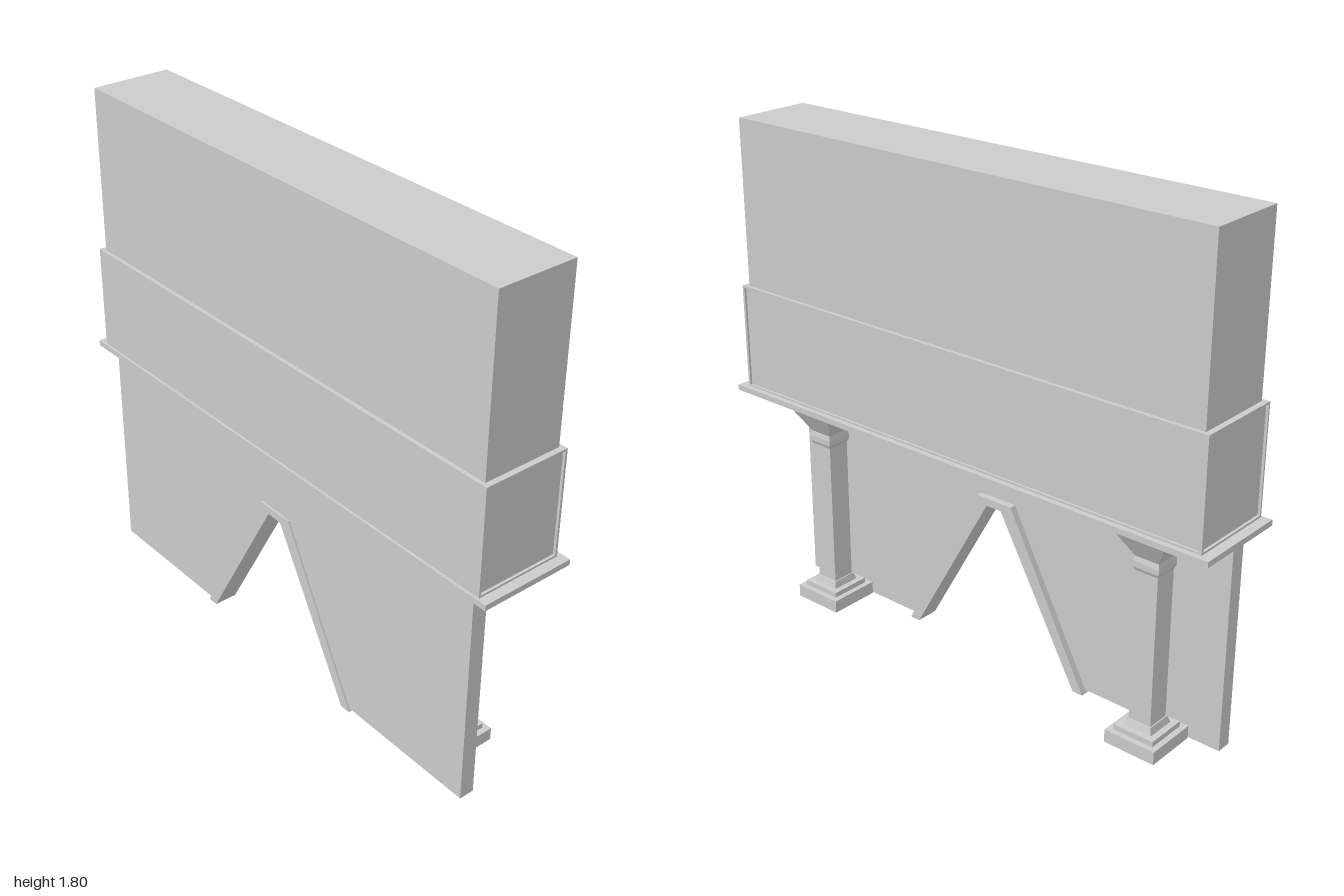
import * as THREE from 'three';

const material = new THREE.MeshStandardMaterial({ color: 0xcccccc, flatShading: true });

function add(parent, name, geometry) {
  const mesh = new THREE.Mesh(geometry, material);
  mesh.name = name;
  parent.add(mesh);
  return mesh;
}

// Box given by its limits on each axis
function box(parent, name, [x0, x1], [y0, y1], [z0, z1]) {
  const mesh = add(parent, name, new THREE.BoxGeometry(x1 - x0, y1 - y0, z1 - z0));
  mesh.position.set((x0 + x1) / 2, (y0 + y1) / 2, (z0 + z1) / 2);
}

// Square frustum on the y axis, from half-widths
function frustum(parent, name, y0, y1, half0, half1) {
  const g = new THREE.CylinderGeometry(half1 * Math.SQRT2, half0 * Math.SQRT2, y1 - y0, 4);
  g.rotateY(Math.PI / 4);
  g.translate(0, (y0 + y1) / 2, 0);
  add(parent, name, g);
}

const outline = (points) => new THREE.Shape(points.map(([a, b]) => new THREE.Vector2(a, b)));

// Outline in (-z, y), extruded from x0 to x1
function slabAlongX(parent, name, shape, x0, x1) {
  const g = new THREE.ExtrudeGeometry(shape, { depth: x1 - x0, bevelEnabled: false });
  g.rotateY(Math.PI / 2);
  g.translate(x0, 0, 0);
  add(parent, name, g);
}

// Rectangular border shape with an opening
function border(a0, a1, b0, b1, side, rail) {
  const rect = (p, q, r, s) => [[p, r], [q, r], [q, s], [p, s]];
  const shape = outline(rect(a0, a1, b0, b1));
  shape.holes.push(outline(rect(a0 + side, a1 - side, b0 + rail, b1 - rail)));
  return shape;
}

function createColumn() {
  const column = new THREE.Group();
  // stepped base, shaft, collar, flared capital and top plate: y0, y1, half-widths
  const parts = [
    ['plinth', 0.015, 0.062, 0.096, 0.096],
    ['baseStep', 0.062, 0.081, 0.076, 0.076],
    ['baseMoulding', 0.081, 0.105, 0.054, 0.046],
    ['shaft', 0.105, 0.65, 0.042, 0.042],
    ['collarTaper', 0.642, 0.655, 0.042, 0.048],
    ['collar', 0.655, 0.675, 0.048, 0.048],
    ['neck', 0.675, 0.692, 0.048, 0.044],
    ['capital', 0.692, 0.804, 0.044, 0.107],
    ['abacus', 0.804, 0.815, 0.118, 0.118],
  ];
  for (const part of parts) frustum(column, ...part);
  return column;
}

export function createModel() {
  const model = new THREE.Group();
  model.name = 'arcadeFacade';

  // Upper wall and ledge
  box(model, 'upperWall', [-0.15, 0.14], [1.19, 1.8], [-0.945, 0.945]);
  box(model, 'ledge', [-0.173, 0.173], [0.813, 0.833], [-1, 1]);

  // Panelled band: a core with raised borders on the front side and both ends
  box(model, 'bandCore', [-0.164, 0.146], [0.833, 1.21], [-0.956, 0.956]);
  slabAlongX(model, 'sidePanelBorder', border(-0.965, 0.965, 0.833, 1.21, 0.009, 0.007), 0.146, 0.154);
  for (const z of [-0.965, 0.956]) {
    const g = new THREE.ExtrudeGeometry(border(-0.164, 0.154, 0.833, 1.21, 0.006, 0.007),
      { depth: 0.009, bevelEnabled: false });
    g.translate(0, 0, z);
    add(model, 'endPanelBorder', g);
  }

  // Lower wall with the tapered opening
  slabAlongX(model, 'lowerWall', outline([
    [-0.925, 0.01], [-0.37, 0.01], [-0.05, 0.59], [0.05, 0.59],
    [0.37, 0.01], [0.925, 0.01], [0.925, 0.815], [-0.925, 0.815],
  ]), -0.143, -0.088);

  // Trim around the opening
  slabAlongX(model, 'openingTrim', outline([
    [-0.395, 0], [-0.355, 0], [-0.031, 0.577], [0.031, 0.577],
    [0.355, 0], [0.395, 0], [0.074, 0.605], [-0.074, 0.605],
  ]), -0.15, -0.064);

  // Columns
  for (const [name, z] of [['frontColumn', 0.7], ['backColumn', -0.717]]) {
    const column = createColumn();
    column.name = name;
    column.position.set(0.019, 0, z);
    model.add(column);
  }
  return model;
}
